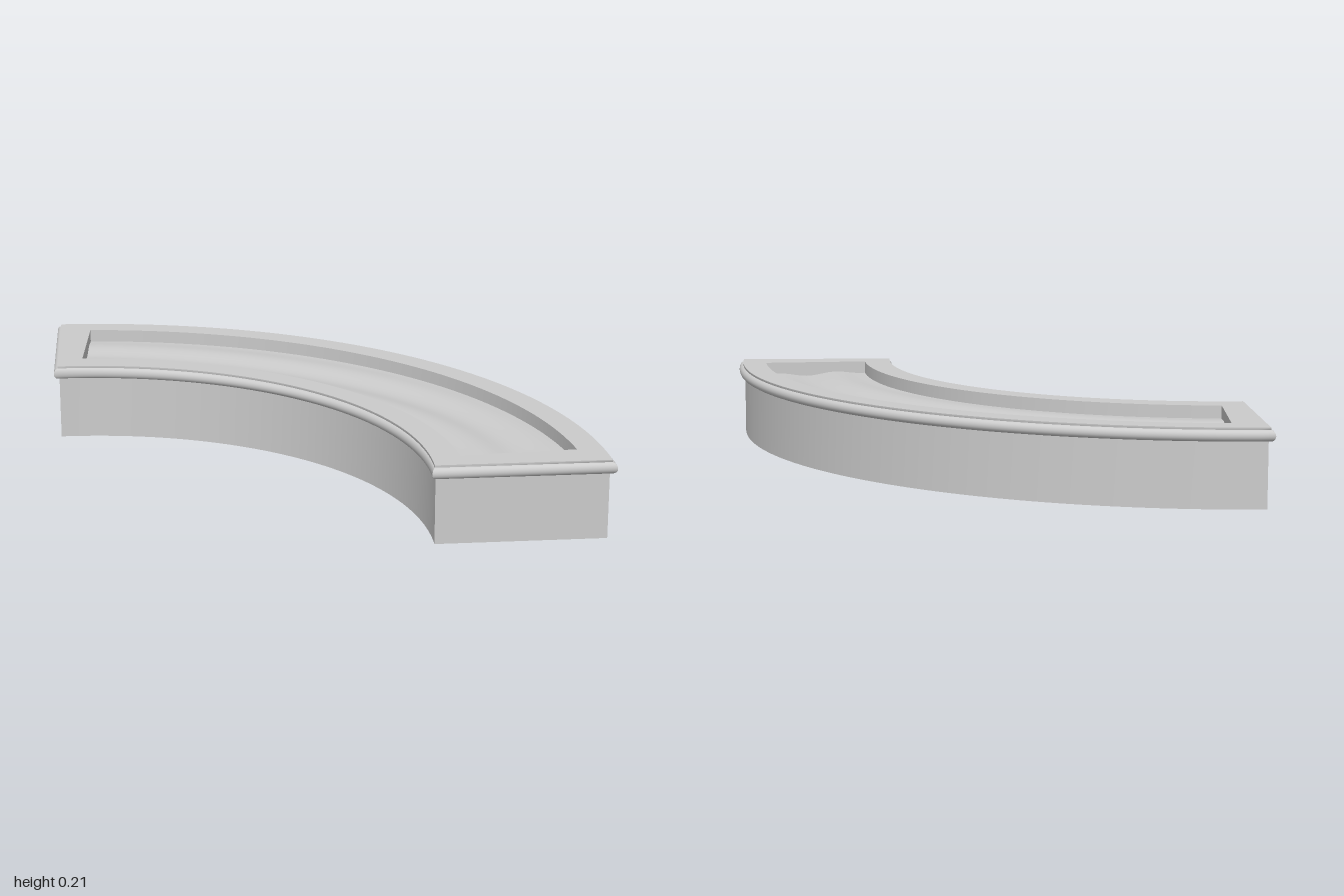
import * as THREE from 'three';

const material = new THREE.MeshStandardMaterial({ color: 0xcccccc, side: THREE.DoubleSide });

// Plan outlines: corner x, corner z and mid z of the back and front arcs
const WALL = [0.977, 0.042, -0.356, 0.668, 0.355, 0.068];
const RIM = [1.0, 0.041, -0.373, 0.672, 0.373, 0.086];
const OPENING = [0.87, 0.031, -0.29, 0.673, 0.258, 0.005];

const mix = (a, b, t) => a.map((n, i) => n + (b[i] - n) * t);

// Point on an arc through (-x, z), (0, mid), (x, z); t runs from -1 to 1
function arc(x, z, mid, t) {
  const sag = z - mid;
  const r = (x * x + sag * sag) / (2 * sag);
  const a = Math.asin(x / r) * t;
  return [r * Math.sin(a), mid + r * (1 - Math.cos(a))];
}
const back = (o, t) => arc(o[0], o[1], o[2], t);
const front = (o, t) => arc(o[3], o[4], o[5], t);

// The four sides of an outline, each as a function of u in 0..1
const sides = [
  { name: 'Front', steps: 64, at: (o, u) => front(o, 2 * u - 1) },
  { name: 'LeftEnd', steps: 1, at: (o, u) => mix(front(o, 1), back(o, 1), u) },
  { name: 'Back', steps: 64, at: (o, u) => back(o, 1 - 2 * u) },
  { name: 'RightEnd', steps: 1, at: (o, u) => mix(back(o, -1), front(o, -1), u) },
];

// Smooth surface from a rule mapping (u, v) to [x, y, z]
function surface(name, nu, nv, rule) {
  const geometry = new THREE.PlaneGeometry(1, 1, nu, nv);
  const { position, uv } = geometry.attributes;
  for (let i = 0; i < position.count; i++) {
    position.setXYZ(i, ...rule(uv.getX(i), uv.getY(i)));
  }
  geometry.computeVertexNormals();
  const mesh = new THREE.Mesh(geometry, material);
  mesh.name = name;
  return mesh;
}

// Band around the plan, through a list of [outline, height] levels
function band(name, levels) {
  const group = new THREE.Group();
  group.name = name;
  const last = levels.length - 1;
  for (const side of sides) {
    group.add(surface(name + side.name, side.steps, last, (u, v) => {
      const [outline, y] = levels[Math.round(v * last)];
      const [x, z] = side.at(outline, u);
      return [x, y, z];
    }));
  }
  return group;
}

export function createModel() {
  const model = new THREE.Group();
  model.name = 'curvedPlanter';
  const step = mix(WALL, RIM, 0.3);

  // Outer walls, open underneath
  model.add(band('wall', [[WALL, 0], [WALL, 0.174]]));

  // Rounded bead around the rim
  const bead = [[WALL, 0.174]];
  for (let i = 0; i <= 10; i++) {
    const a = -Math.PI / 2 + (Math.PI * i) / 10;
    bead.push([mix(WALL, RIM, 0.2 + 0.8 * Math.cos(a)), 0.189 + 0.015 * Math.sin(a)]);
  }
  model.add(band('rimBead', bead));

  // Raised flat top and the skirt lining the opening
  model.add(band('rimStep', [[mix(WALL, RIM, 0.2), 0.204], [step, 0.204], [step, 0.21]]));
  model.add(band('rimTop', [[step, 0.21], [OPENING, 0.21]]));
  model.add(band('openingSkirt', [[OPENING, 0.21], [OPENING, 0.14]]));

  // Gently rippled soil set below the rim
  model.add(surface('soil', 64, 20, (u, v) => {
    const t = 2 * u - 1;
    const [x, z] = mix(front(OPENING, t), back(OPENING, t), v);
    const ripple = Math.sin(v * 9 + 0.8 * Math.sin(5 * u)) * Math.sin(Math.PI * v);
    return [x, 0.175 + 0.007 * ripple, z];
  }));

  return model;
}
